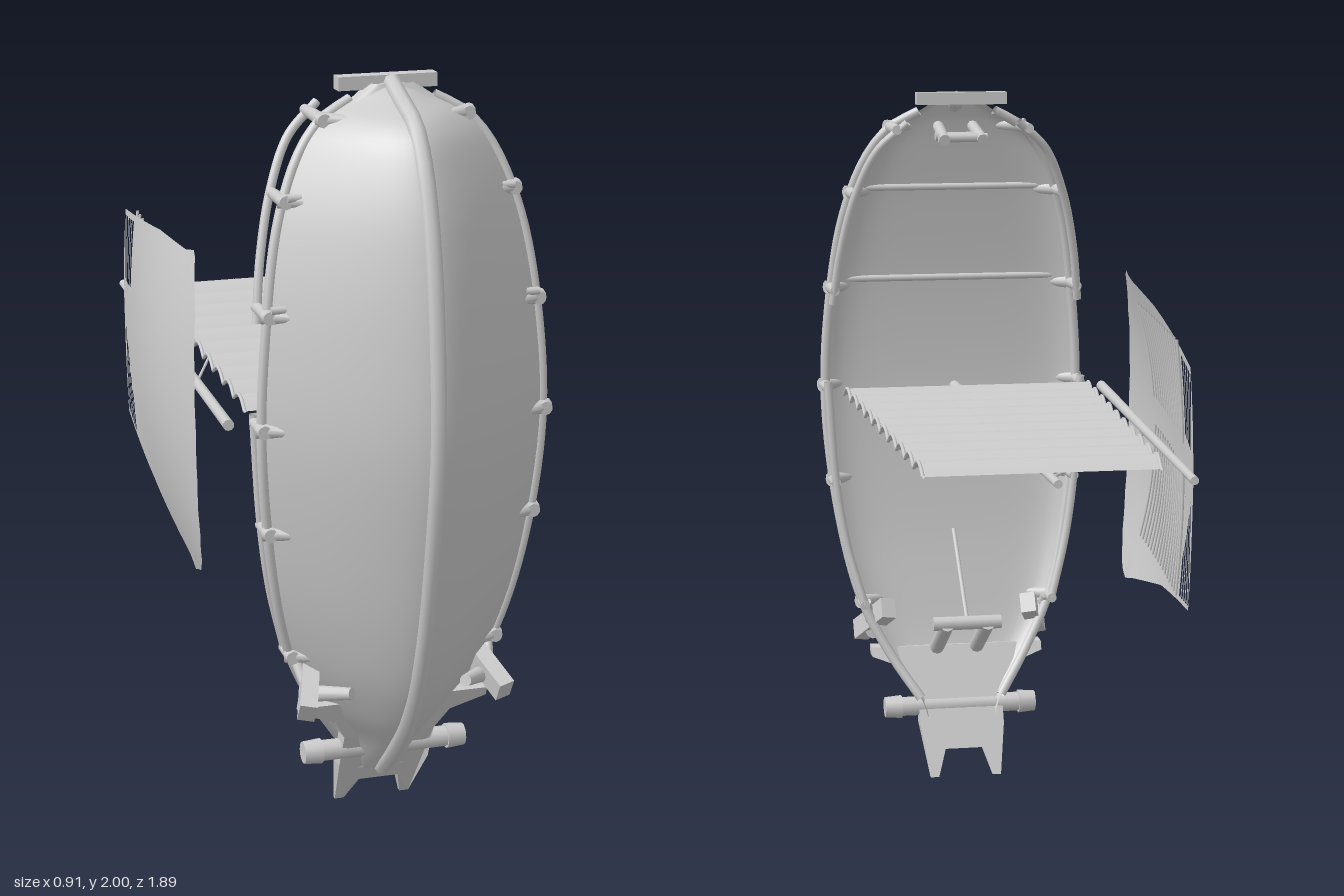
import * as THREE from 'three';

const CX = 0.065; // hull centre line
const MAST_Y = 1.13;
const lerp = THREE.MathUtils.lerp;
const material = new THREE.MeshStandardMaterial({ color: 0xcccccc, side: THREE.DoubleSide });
const V = (x, y, z) => new THREE.Vector3(x, y, z);

function add(group, name, geometry) {
  const mesh = new THREE.Mesh(geometry, material);
  mesh.name = name;
  group.add(mesh);
  return mesh;
}

// Grid surface from a rule f(u, v) -> Vector3
function patch(f, nu, nv) {
  const pos = [], idx = [];
  for (let j = 0; j <= nv; j++)
    for (let i = 0; i <= nu; i++) pos.push(...f(i / nu, j / nv).toArray());
  for (let j = 0; j < nv; j++)
    for (let i = 0; i < nu; i++) {
      const a = j * (nu + 1) + i, b = a + nu + 1;
      idx.push(a, a + 1, b, a + 1, b + 1, b);
    }
  const g = new THREE.BufferGeometry();
  g.setAttribute('position', new THREE.Float32BufferAttribute(pos, 3));
  g.setIndex(idx);
  g.computeVertexNormals();
  return g;
}

// Round bar between two points, closed at the ends
function bar(group, name, a, b, r, r2 = r) {
  const mesh = add(group, name, new THREE.CylinderGeometry(r2, r, a.distanceTo(b), 10));
  mesh.position.copy(a).add(b).multiplyScalar(0.5);
  mesh.quaternion.setFromUnitVectors(V(0, 1, 0), b.clone().sub(a).normalize());
  return mesh;
}

function tube(group, name, points, r, segments = 48) {
  return add(group, name, new THREE.TubeGeometry(new THREE.CatmullRomCurve3(points), segments, r, 8));
}

// Hull stations: height, half width, gunwale z, keel z
const stations = [
  [0.12, 0.09, 0.48, 0.53], [0.22, 0.12, 0.50, 0.64], [0.34, 0.20, 0.55, 0.74],
  [0.50, 0.28, 0.59, 0.82], [0.75, 0.34, 0.635, 0.885], [1.10, 0.375, 0.665, 0.935],
  [1.40, 0.36, 0.655, 0.92], [1.65, 0.32, 0.62, 0.875], [1.82, 0.255, 0.585, 0.81],
  [1.90, 0.19, 0.565, 0.745], [1.945, 0.11, 0.55, 0.64], [1.98, 0.06, 0.535, 0.555],
];
const sideCurve = new THREE.CatmullRomCurve3(stations.map(s => V(s[1], s[0], s[2])), false, 'catmullrom');
const keelCurve = new THREE.CatmullRomCurve3(stations.map(s => V(0, s[0], s[3])), false, 'catmullrom');

// Gunwale point at a given height
function gunwaleAt(y, side) {
  let lo = 0, hi = 1;
  for (let i = 0; i < 24; i++) {
    const m = (lo + hi) / 2;
    if (sideCurve.getPoint(m).y < y) lo = m; else hi = m;
  }
  const p = sideCurve.getPoint(lo);
  return V(CX + side * p.x, p.y, p.z);
}

function buildHull() {
  const hull = new THREE.Group();
  hull.name = 'hull';
  add(hull, 'hullShell', patch((u, v) => {
    const g = sideCurve.getPoint(v), k = keelCurve.getPoint(v), s = 2 * u - 1;
    return V(CX + s * g.x, g.y, g.z + (k.z - g.z) * (1 - Math.abs(s) ** 1.45));
  }, 32, 64));
  add(hull, 'deck', patch((u, v) => {
    const g = sideCurve.getPoint(v), s = 1 - 2 * u;
    return V(CX + s * g.x, g.y, g.z + 0.03 * (1 - s ** 8));
  }, 24, 48));
  // keel strip
  tube(hull, 'keel', stations.map(s => V(CX, s[0], s[3] - 0.012)), 0.024);
  // low deck ridges
  for (const y of [1.45, 1.72]) {
    const a = gunwaleAt(y, -1), b = gunwaleAt(y, 1);
    a.z += 0.03; b.z += 0.03;
    bar(hull, 'deckBeam', a, b, 0.01);
  }
  return hull;
}

function buildRails() {
  const rails = new THREE.Group();
  rails.name = 'rails';
  for (const side of [-1, 1]) {
    tube(rails, 'gunwale', stations.slice(1, -1).map(s => V(CX + side * s[1], s[0], s[2])), 0.014);
    // stanchions: height, reach behind the gunwale
    for (const [y, reach] of [[0.5, 0.06], [0.86, 0.07], [1.14, 0.07], [1.43, 0.1], [1.71, 0.1], [1.9, 0.14]]) {
      const g = gunwaleAt(y, side);
      bar(rails, 'stanchion', g.clone().add(V(0, 0, 0.03)), g.clone().add(V(0, 0, -reach)), 0.018, 0.014);
      bar(rails, 'stanchionFoot', g.clone().add(V(-side * 0.07, 0, 0.045)), g.clone().add(V(side * 0.012, 0, 0)), 0.012, 0.021);
    }
    // outer rails, lower and upper
    const rail = list => list.map(([y, z]) => { const p = gunwaleAt(y, side); p.z = z; return p; });
    tube(rails, 'lowerRail', rail([[0.5, 0.54], [0.68, 0.57], [0.86, 0.585], [1.16, 0.59]]), 0.012);
    tube(rails, 'upperRail', rail([[1.39, 0.57], [1.55, 0.535], [1.71, 0.495], [1.84, 0.455], [1.92, 0.43]]), 0.012);
    // angled cleat boards low on the hull
    const board = add(rails, 'cleatBoard', new THREE.BoxGeometry(0.045, 0.06, 0.21));
    board.position.set(CX + side * 0.24, 0.435, 0.63);
    board.rotation.set(0.55, side * 0.3, 0);
    bar(rails, 'cleatArm', V(CX + side * 0.25, 0.4, 0.62), V(CX + side * 0.155, 0.43, 0.73), 0.024, 0.016);
    bar(rails, 'cleatPeg', V(CX + side * 0.25, 0.42, 0.64), V(CX + side * 0.27, 0.5, 0.58), 0.014);
  }
  return rails;
}

function buildEnds() {
  const ends = new THREE.Group();
  ends.name = 'endFittings';
  // forked plate at the foot, widening to the hull above
  const half = [[0.055, 0.075], [0.08, 0], [0.105, 0], [0.125, 0.14], [0.125, 0.24], [0.16, 0.3], [0.255, 0.335], [0.255, 0.36]];
  const shape = new THREE.Shape([
    ...half.map(([x, y]) => new THREE.Vector2(x, y)),
    ...half.map(([x, y]) => new THREE.Vector2(-x, y)).reverse(),
  ]);
  const fork = new THREE.ExtrudeGeometry(shape, { depth: 1, bevelEnabled: false });
  const p = fork.attributes.position;
  for (let i = 0; i < p.count; i++) {
    const y = p.getY(i);
    p.setZ(i, 0.415 + 0.45 * y + p.getZ(i) * Math.min(0.05, 0.012 + 0.3 * y));
  }
  fork.computeVertexNormals();
  add(ends, 'forkPlate', fork).position.x = CX;
  // lower cross bar with thicker ends
  bar(ends, 'lowerCrossBar', V(CX - 0.2, 0.19, 0.525), V(CX + 0.2, 0.19, 0.525), 0.028);
  for (const s of [-1, 1])
    bar(ends, 'crossBarEnd', V(CX + s * 0.175, 0.19, 0.525), V(CX + s * 0.225, 0.19, 0.525), 0.034, 0.03);
  // tiller frame
  for (const s of [-1, 1])
    bar(ends, 'tillerArm', V(CX + s * 0.06, 0.33, 0.62), V(CX + s * 0.06, 0.47, 0.38), 0.022);
  bar(ends, 'tillerBar', V(CX - 0.1, 0.47, 0.39), V(CX + 0.1, 0.47, 0.39), 0.02);
  bar(ends, 'tillerStay', V(CX, 0.7, 0.63), V(CX, 0.47, 0.38), 0.006);
  // upper cross bar and small frame
  const top = add(ends, 'upperCrossBar', new THREE.BoxGeometry(0.26, 0.035, 0.04));
  top.position.set(CX - 0.01, 1.982, 0.53);
  for (const s of [-1, 1])
    bar(ends, 'upperFrameArm', V(CX + s * 0.05, 1.9, 0.57), V(CX + s * 0.055, 1.87, 0.42), 0.016);
  for (const z of [0.44, 0.5])
    bar(ends, 'upperFrameBar', V(CX - 0.07, 1.875, z), V(CX + 0.07, 1.875, z), 0.013);
  return ends;
}

function buildMainSail() {
  const sail = new THREE.Group();
  sail.name = 'mainSail';
  const panels = 10;
  // point on the scalloped cloth, u across and t along the mast
  const cloth = (u, t) => V(
    lerp(lerp(-0.305, -0.225, t), lerp(0.405, 0.375, t), u),
    1.138 + 0.027 * Math.abs(Math.sin(Math.PI * panels * t)),
    lerp(0.49, -0.82, t));
  add(sail, 'ribbedSail', patch(cloth, 2, panels * 8));
  for (const u of [0, 1]) {
    const edge = Array.from({ length: panels * 6 + 1 }, (_, i) => cloth(u, i / (panels * 6)));
    tube(sail, 'sailEdge', edge, 0.005, panels * 8);
  }
  bar(sail, 'mainMast', V(0.05, 1.122, 0.71), V(0.05, 1.122, -0.89), 0.016, 0.011);
  return sail;
}

// Side sail outline, top and bottom edges as (z, y)
const topEdge = [[0.54, 1.1], [0.5, 1.25], [0.42, 1.38], [0.33, 1.45], [0.24, 1.51], [0.15, 1.49], [-0.2, 1.465], [-0.81, 1.39], [-0.86, 1.25], [-0.89, 1.13]];
const lowEdge = [[0.54, 0.98], [0.5, 0.82], [0.43, 0.72], [0.33, 0.66], [0.22, 0.625], [0.1, 0.65], [-0.3, 0.72], [-0.81, 0.77], [-0.85, 0.93], [-0.89, 1.11]];
function edgeAt(edge, z) {
  for (let i = 1; i < edge.length; i++) {
    const [za, ya] = edge[i - 1], [zb, yb] = edge[i];
    if (z >= zb) return ya + (yb - ya) * (za - z) / (za - zb);
  }
  return edge.at(-1)[1];
}
// Bowed sail surface
function sailPoint(y, z, inward = 0) {
  const t = Math.min(1, (0.54 - z) / 1.43);
  const bulge = 0.078 * Math.sin(Math.PI * (0.15 + 0.85 * t) ** 0.7) * Math.max(0, 1 - ((y - 1.07) / 0.43) ** 2);
  return V(-0.39 + 0.1 * t - bulge + inward, y, z);
}

function buildSideSail() {
  const sail = new THREE.Group();
  sail.name = 'sideSail';
  // part of the sail between two z values, from fraction f0 to f1 of its height;
  // f0End is the lower fraction at the far side
  const piece = (name, za, zb, f0, f1, nz, f0End = f0) => add(sail, name, patch((u, v) => {
    const z = lerp(za, zb, u), low = edgeAt(lowEdge, z), high = edgeAt(topEdge, z);
    return sailPoint(lerp(low, high, lerp(lerp(f0, f0End, u), f1, v)), z);
  }, nz, 20));
  piece('sailCloth', 0.54, -0.62, 0, 1, 58);
  piece('sailEnd', -0.81, -0.89, 0, 1, 8);
  piece('sailBand', -0.62, -0.81, 0.17, 0.66, 8, 0.45);
  for (const [a, b] of [[0, 0.02], [0.97, 1]]) piece('sailHem', -0.62, -0.81, a, b, 8);
  for (let i = 0; i < 4; i++) piece('sailSlat', -0.65 - i * 0.042, -0.664 - i * 0.042, 0, 1, 1);
  // inner ribs
  for (let z = 0.16; z > -0.61; z -= 0.05)
    for (const [a, b] of [[0.76, 1.08], [1.16, 1.43]]) {
      const points = [0, 0.25, 0.5, 0.75, 1].map(t => sailPoint(lerp(a, b, t), z - 0.01 * t, 0.005));
      tube(sail, 'innerRib', points, 0.004, 10);
    }
  bar(sail, 'sideMast', V(-0.37, MAST_Y, 0.57), V(-0.28, MAST_Y, -0.945), 0.015, 0.011);
  bar(sail, 'stay', V(-0.44, 1.035, 0.28), V(0.04, 1.12, -0.78), 0.004);
  return sail;
}

export function createModel() {
  const model = new THREE.Group();
  model.name = 'sailingBoat';
  model.add(buildHull(), buildRails(), buildEnds(), buildMainSail(), buildSideSail());
  return model;
}
